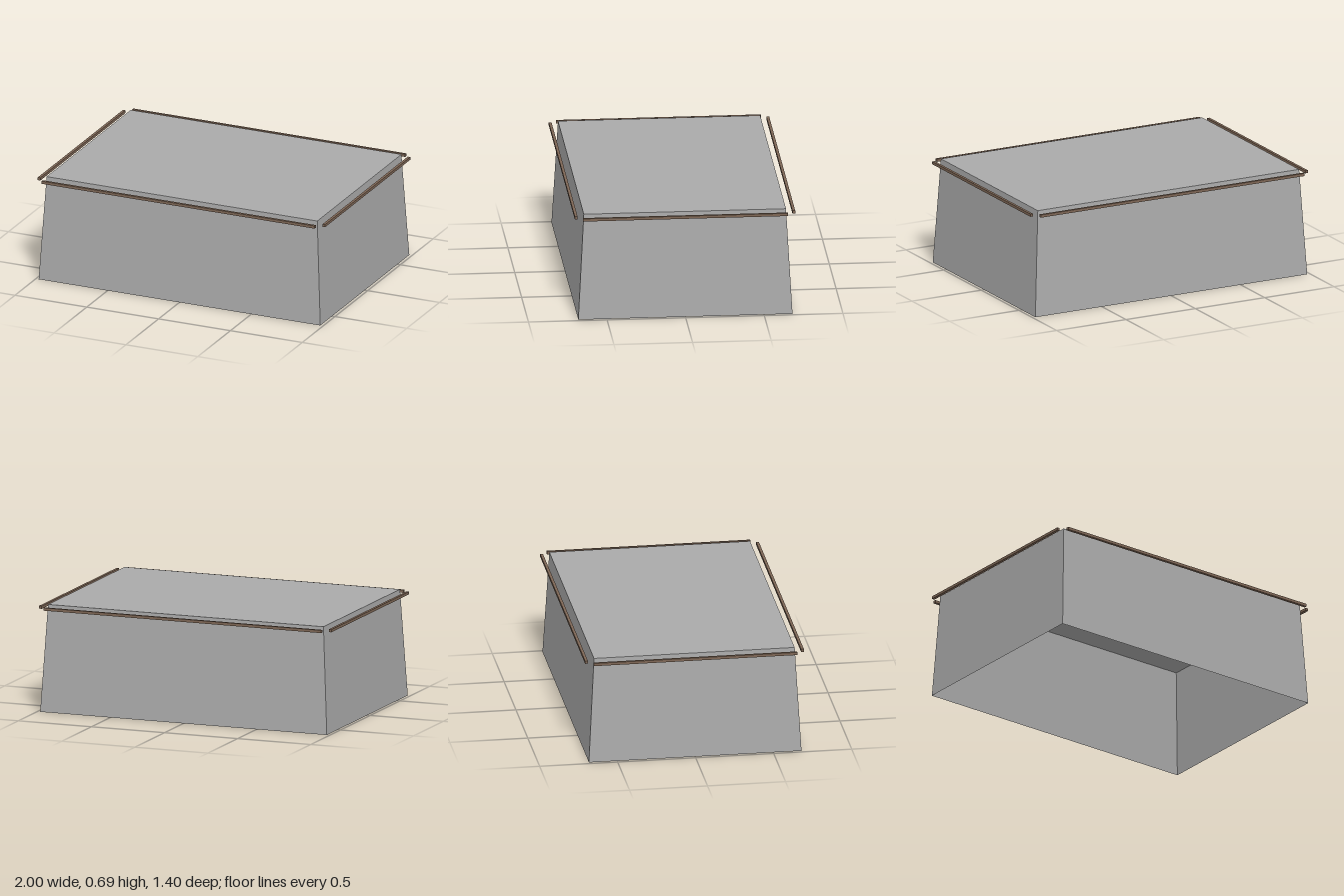
import * as THREE from 'three';

export function createModel() {
  const model = new THREE.Group();
  const grey = new THREE.MeshStandardMaterial({ color: 0xaaaaaa, side: THREE.DoubleSide });
  grey.name = 'greyShell';
  const brown = new THREE.MeshStandardMaterial({ color: 0x7d6655 });
  brown.name = 'brownTrim';

  const H = 0.69;
  const base = [0.98, 0.681], top = [0.942, 0.643];

  // Thin surface from four corners, counter-clockwise from outside
  function panel(name, corners) {
    const [a, b, c, d] = corners;
    const geo = new THREE.BufferGeometry();
    geo.setAttribute('position', new THREE.Float32BufferAttribute([a, b, c, a, c, d].flat(), 3));
    geo.computeVertexNormals();
    const mesh = new THREE.Mesh(geo, grey);
    mesh.name = name;
    model.add(mesh);
  }

  // Tapered walls, open underneath, and the flat lid
  const signs = [[-1, 1], [1, 1], [1, -1], [-1, -1]];
  const ring = ([hx, hz], y) => signs.map(([sx, sz]) => [sx * hx, y, sz * hz]);
  const lower = ring(base, 0), upper = ring(top, H);
  ['frontWall', 'leftWall', 'backWall', 'rightWall'].forEach((name, i) => {
    const j = (i + 1) % 4;
    panel(name, [lower[i], lower[j], upper[j], upper[i]]);
  });
  panel('lid', upper);

  // Four trim rails standing just outside the upper rim
  function rail(name, w, d, x, z) {
    const mesh = new THREE.Mesh(new THREE.BoxGeometry(w, 0.018, d), brown);
    mesh.position.set(x, 0.669, z);
    mesh.name = name;
    model.add(mesh);
  }
  const t = 0.018;
  for (const s of [1, -1]) {
    rail(s > 0 ? 'frontRail' : 'backRail', 1.9, t, 0, s * 0.692);
    rail(s > 0 ? 'leftRail' : 'rightRail', t, 1.304, s * 0.991, 0);
  }
  return model;
}
